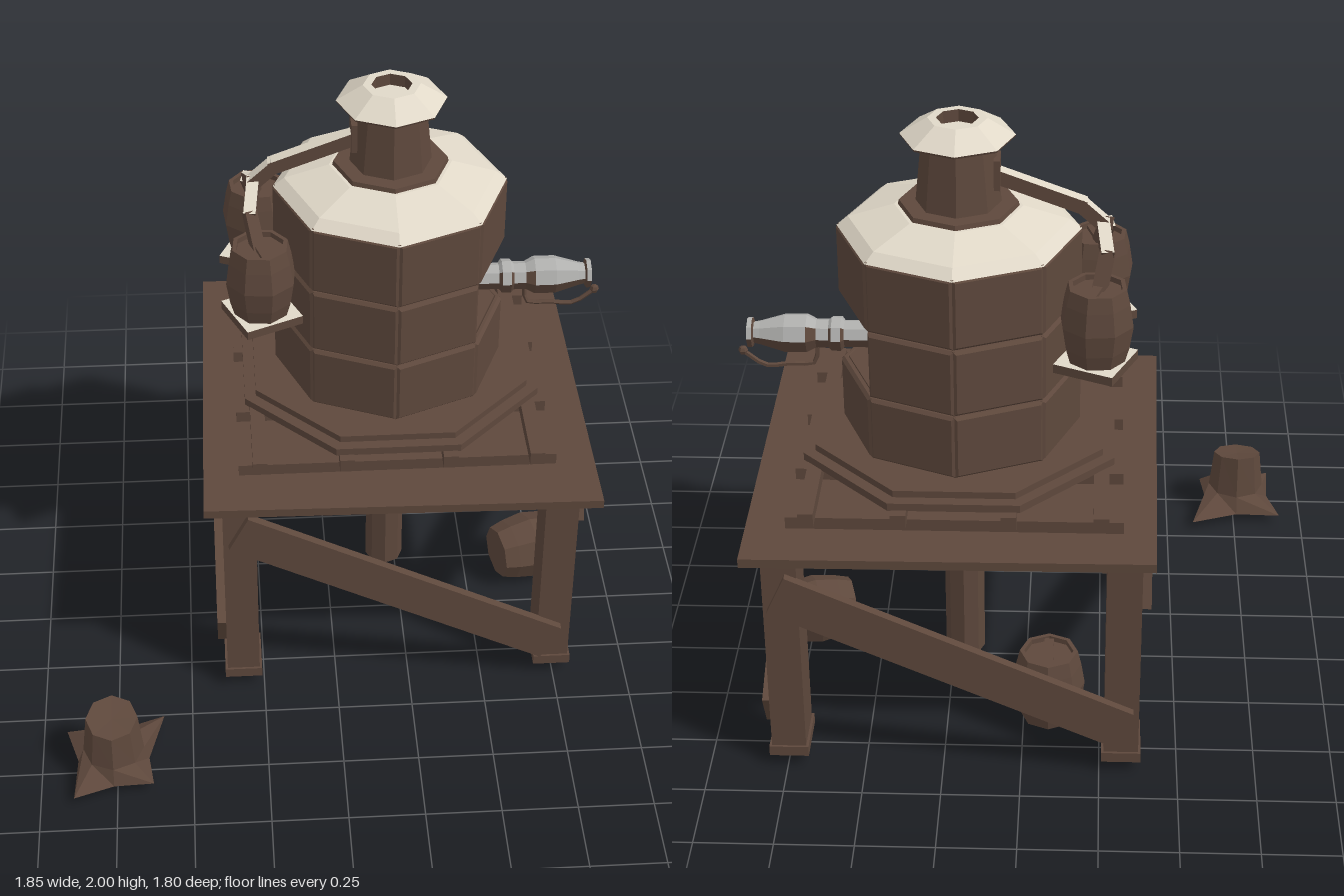
import * as THREE from 'three';

const brown = new THREE.MeshStandardMaterial({ name: 'dark wood', color: 0x5e483c, flatShading: true });
const snow = new THREE.MeshStandardMaterial({ name: 'pale snow', color: 0xe0d8c8, flatShading: true });
const frost = new THREE.MeshStandardMaterial({ name: 'frosted metal', color: 0xb0b0ae, flatShading: true });

const CX = 0.21, CZ = -0.25, PI = Math.PI;
const V = (x, y, z) => new THREE.Vector3(x, y, z);
const box = (w, h, d) => new THREE.BoxGeometry(w, h, d);
const lathe = (pts, n = 8) => new THREE.LatheGeometry(pts.map(p => new THREE.Vector2(...p)), n);

function add(parent, name, geo, mat, x = 0, y = 0, z = 0) {
  const m = new THREE.Mesh(geo, mat);
  m.name = name;
  m.position.set(x, y, z);
  parent.add(m);
  return m;
}

// Sorts triangles into two groups: 0 = sides and underside, 1 = faces looking up
function splitTop(geo, limit = 0.5) {
  const p = geo.toNonIndexed().getAttribute('position');
  const sets = [[], []];
  const a = V(), b = V(), c = V(), n = V();
  for (let i = 0; i < p.count; i += 3) {
    a.fromBufferAttribute(p, i); b.fromBufferAttribute(p, i + 1); c.fromBufferAttribute(p, i + 2);
    n.copy(b).sub(a).cross(c.clone().sub(a)).normalize();
    sets[n.y > limit ? 1 : 0].push(...a.toArray(), ...b.toArray(), ...c.toArray());
  }
  const out = new THREE.BufferGeometry();
  out.setAttribute('position', new THREE.Float32BufferAttribute([...sets[0], ...sets[1]], 3));
  out.computeVertexNormals();
  out.addGroup(0, sets[0].length / 3, 0);
  out.addGroup(sets[0].length / 3, sets[1].length / 3, 1);
  return out;
}

// Square bar between two points
function bar(a, b, w) {
  const o = new THREE.Object3D();
  o.position.copy(a).add(b).multiplyScalar(0.5);
  o.lookAt(b);
  o.updateMatrix();
  return box(w, w, a.distanceTo(b) + w * 0.5).applyMatrix4(o.matrix);
}

function makeBarrel(name) {
  const g = new THREE.Group();
  g.name = name;
  add(g, 'barrelBody', lathe([[0, 0], [0.092, 0], [0.106, 0.05], [0.118, 0.125], [0.106, 0.2],
    [0.094, 0.25], [0.08, 0.25], [0.08, 0.232], [0, 0.232]]), brown);
  add(g, 'barrelLidPlank', box(0.03, 0.012, 0.15), brown, 0, 0.238, 0);
  return g;
}

function makeStump() {
  const base = [[0, 0.12], [0.13, 0.115], [0.115, 0], [0.165, -0.19], [0, -0.13], [-0.16, -0.135], [-0.12, 0], [-0.13, 0.165]];
  const ring = (r, f) => base.map((_, i) => {
    const x = r * Math.sin(i * PI / 4), z = r * Math.cos(i * PI / 4);
    return [x, f(z), z];
  });
  const rings = [base.map(([x, z]) => [x, 0.035, z]), ring(0.1, () => 0.09), ring(0.085, z => 0.23 - z * 0.22)];
  const pts = [...rings.flat(), [0, 0.035, 0], [0, 0.225, 0]];
  const idx = [];
  for (let i = 0; i < 8; i++) {
    const j = (i + 1) % 8;
    for (const k of [0, 8]) idx.push(k + i, k + j, k + 8 + i, k + j, k + 8 + j, k + 8 + i);
    idx.push(24, j, i, 25, 16 + i, 16 + j);
  }
  const g = new THREE.BufferGeometry();
  g.setAttribute('position', new THREE.Float32BufferAttribute(pts.flat(), 3));
  g.setIndex(idx);
  g.computeVertexNormals();
  return g;
}

function makeStand(root) {
  const g = new THREE.Group();
  g.name = 'stand';
  root.add(g);
  // Uneven deck board
  const s = new THREE.Shape([[-0.435, -0.405], [0.865, -0.43], [0.86, 0.905], [-0.415, 0.895]].map(p => new THREE.Vector2(...p)));
  add(g, 'deck', new THREE.ExtrudeGeometry(s, { depth: 0.03, bevelEnabled: false }).rotateX(-PI / 2), brown, 0, 0.79, 0);
  // Corner legs with wider feet
  for (const x of [-0.32, 0.745]) for (const z of [0.28, -0.78]) {
    add(g, 'leg', box(0.11, 0.75, 0.16), brown, x, 0.415, z);
    add(g, 'legFoot', box(0.126, 0.035, 0.176), brown, x, 0.055, z);
  }
  add(g, 'centrePost', new THREE.CylinderGeometry(0.066, 0.066, 0.87, 8), brown, CX, 0.475, CZ);
  // One diagonal brace on each side
  const brace = (x, z, yaw, tilt) => {
    const m = add(g, 'brace', box(1.19, 0.145, 0.03), brown, x, 0.425, z);
    m.rotation.set(0, yaw, tilt, 'YXZ');
  };
  brace(0.205, 0.372, 0, -0.475);
  brace(0.215, -0.872, 0, 0.43);
  brace(0.815, -0.255, PI / 2, -0.475);
  brace(-0.39, -0.255, PI / 2, 0.43);
  // Crossed bearers and octagonal plates under the tank
  for (const d of [-0.455, -0.17, 0.17, 0.455]) {
    add(g, 'crossBearer', box(1.05, 0.04, 0.048), brown, CX, 0.84, CZ + d);
    add(g, 'longBearer', box(0.048, 0.045, 1.05), brown, CX + d, 0.88, CZ);
  }
  for (const [r, y, h] of [[0.535, 0.914, 0.026], [0.495, 0.938, 0.024]])
    add(g, 'tankPlate', new THREE.CylinderGeometry(r, r, h, 8).rotateY(PI / 8), brown, CX, y, CZ);
}

function makeTank(root) {
  const g = new THREE.Group();
  g.name = 'tank';
  g.position.set(CX, 0, CZ);
  root.add(g);
  // Solid upper and lower drums, slimmer core behind the opening
  for (const [r, y0, y1] of [[0.36, 0.95, 1.17], [0.26, 1.17, 1.4], [0.36, 1.4, 1.645]])
    add(g, 'tankCore', new THREE.CylinderGeometry(r, r, y1 - y0, 8), brown, 0, (y0 + y1) / 2, 0);
  // Bevelled wall panels; two are left out on the gun side
  const rows = [[0.95, 1.168], [1.172, 1.398], [1.402, 1.64]];
  rows.forEach(([y0, y1], row) => {
    const w = 0.1375, h = (y1 - y0) / 2 - 0.01;
    const s = new THREE.Shape([[-w, -h], [w, -h], [w, h], [-w, h]].map(p => new THREE.Vector2(...p)));
    const geo = new THREE.ExtrudeGeometry(s, { depth: 0.01, bevelSize: 0.01, bevelThickness: 0.01, bevelSegments: 1 });
    for (let i = 0; i < 8; i++) {
      if (row === 1 && (i === 1 || i === 2)) continue;
      const a = PI / 8 + i * PI / 4;
      add(g, 'wallPanel', geo, brown, 0.337 * Math.sin(a), (y0 + y1) / 2, 0.337 * Math.cos(a)).rotation.y = a;
    }
  });
  // Snowy roof, collar, chimney and hollow cap
  add(g, 'roof', lathe([[0, 1.635], [0.382, 1.635], [0.345, 1.665], [0.2, 1.71], [0, 1.712]]), snow);
  add(g, 'chimneyCollar', new THREE.CylinderGeometry(0.185, 0.19, 0.02, 8), brown, 0, 1.715, 0);
  add(g, 'chimney', new THREE.CylinderGeometry(0.11, 0.134, 0.235, 8), brown, 0, 1.835, 0);
  add(g, 'chimneyCap', splitTop(lathe([[0, 1.94], [0.175, 1.94], [0.178, 1.947], [0.092, 2], [0.065, 2], [0.065, 1.96], [0, 1.96]]), 0.3), [brown, snow]);
}

function makeGun(root) {
  const g = new THREE.Group();
  g.name = 'spoutGun';
  g.position.set(0, 1.25, CZ);
  root.add(g);
  // Barrel profile runs along +x
  const profile = [[0, 0.4], [0.045, 0.4], [0.045, 0.58], [0.058, 0.59], [0.058, 0.62], [0.048, 0.63], [0.048, 0.67],
    [0.064, 0.7], [0.064, 0.77], [0.04, 0.85], [0.036, 0.87], [0.05, 0.875], [0.05, 0.89], [0.026, 0.89], [0.026, 0.85], [0, 0.85]];
  add(g, 'gunBarrel', splitTop(lathe(profile).rotateZ(-PI / 2), 0.35), [brown, frost]);
  // Tapered mounting plate and bracket inside the opening
  const s = new THREE.Shape([[-0.17, -0.025], [-0.07, -0.065], [0.07, -0.065], [0.17, -0.025],
    [0.17, 0.025], [0.07, 0.065], [-0.07, 0.065], [-0.17, 0.025]].map(p => new THREE.Vector2(...p)));
  add(g, 'gunMount', new THREE.ExtrudeGeometry(s, { depth: 0.05, bevelEnabled: false }).rotateY(PI / 2), brown, 0.43, 0, 0);
  add(g, 'gunBracket', new THREE.CylinderGeometry(0.08, 0.055, 0.07, 8), brown, 0.41, 0.115, 0);
  // Curved trigger handle with a knob
  const curve = new THREE.CatmullRomCurve3([V(0.67, -0.05, 0), V(0.68, -0.105, 0), V(0.76, -0.112, 0), V(0.84, -0.118, 0), V(0.91, -0.068, 0)]);
  add(g, 'gunHandle', new THREE.TubeGeometry(curve, 10, 0.008, 5), brown);
  add(g, 'handleKnob', new THREE.SphereGeometry(0.016, 6, 4), brown, 0.91, -0.066, 0);
}

function makeSideBarrels(root) {
  const g = new THREE.Group();
  g.name = 'sideBarrels';
  root.add(g);
  // Pipe leaves the chimney and forks into both barrels
  const fork = V(-0.235, 1.655, CZ);
  const pipe = (a, b, w) => add(g, 'pipe', splitTop(bar(a, b, w), 0.6), [brown, snow]);
  pipe(V(0.11, 1.82, CZ), V(-0.17, 1.715, CZ), 0.045);
  pipe(V(-0.17, 1.715, CZ), fork, 0.043);
  add(g, 'pipeFlange', box(0.02, 0.1, 0.08), brown, 0.09, 1.825, CZ);
  for (const side of [-1, 1]) {
    const z = CZ + side * 0.183;
    const elbow = V(-0.25, 1.6, CZ + side * 0.11);
    pipe(fork, elbow, 0.04);
    pipe(elbow, V(-0.23, 1.51, CZ + side * 0.165), 0.04);
    const b = makeBarrel('sideBarrel');
    b.position.set(-0.222, 1.28, z);
    b.rotation.y = side * 0.3;
    g.add(b);
    add(g, 'barrelShelf', splitTop(box(0.2, 0.03, 0.2)), [brown, snow], -0.22, 1.265, z).rotation.y = side * 0.42;
  }
}

export function createModel() {
  const root = new THREE.Group();
  root.name = 'waterTower';
  makeStand(root);
  makeTank(root);
  makeGun(root);
  makeSideBarrels(root);
  // Barrels on the ground, one standing and one tipped over
  const standing = makeBarrel('standingBarrel');
  standing.position.set(-0.083, 0.04, -0.62);
  root.add(standing);
  const fallen = makeBarrel('fallenBarrel');
  fallen.position.set(0.61, 0.118, -0.13);
  fallen.rotation.set(0, 0.3, -PI / 2, 'YXZ');
  root.add(fallen);
  add(root, 'treeStump', makeStump(), brown, -0.76, 0, 0.73);
  return root;
}
